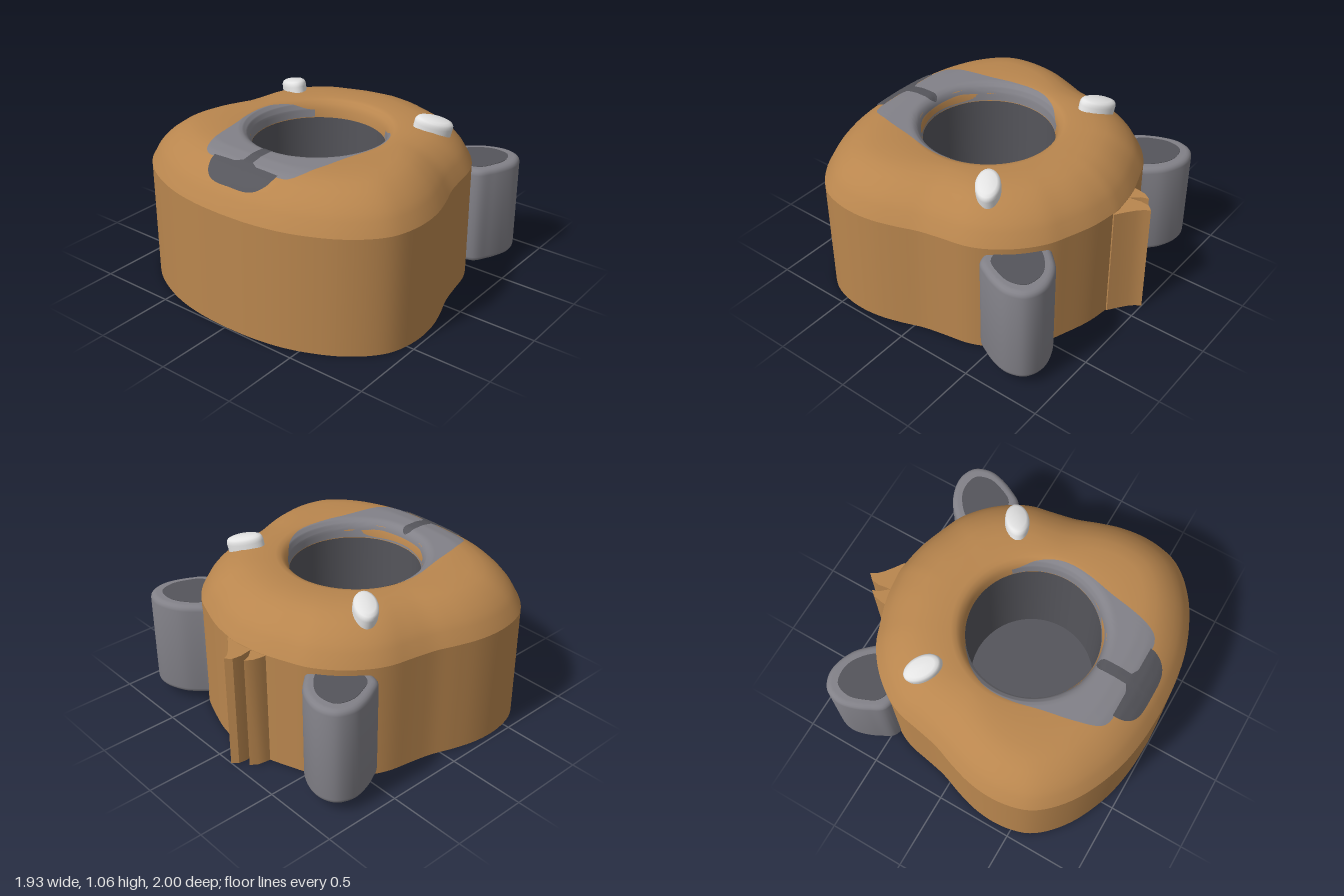
import * as THREE from 'three';
import { toCreasedNormals } from 'three/addons/utils/BufferGeometryUtils.js';

const HOLE_Z = 0.11, HOLE_R = 0.41, FLOOR_Y = 0.08;

const mat = (name, color, side = THREE.FrontSide) => {
  const m = new THREE.MeshStandardMaterial({ color, side });
  m.name = name;
  return m;
};

// Radius around the hole centre as a function of angle (0 = front), from half an outline
function radial(points) {
  const curve = new THREE.CatmullRomCurve3(points.map(([x, z]) => new THREE.Vector3(x, 0, z - HOLE_Z)), false, 'centripetal');
  const table = curve.getPoints(240).map(p => [Math.atan2(p.x, p.z), Math.hypot(p.x, p.z)]);
  return phi => {
    const a = Math.abs(phi);
    let i = 1;
    while (i < table.length - 1 && table[i][0] < a) i++;
    const [a0, r0] = table[i - 1], [a1, r1] = table[i];
    const t = a1 > a0 ? THREE.MathUtils.clamp((a - a0) / (a1 - a0), 0, 1) : 0;
    return r0 + (r1 - r0) * t;
  };
}

const headRadius = radial([
  [0, 0.995], [0.2, 0.985], [0.4, 0.95], [0.57, 0.89], [0.72, 0.81], [0.85, 0.7], [0.92, 0.6],
  [0.955, 0.48], [0.965, 0.36], [0.95, 0.22], [0.91, 0.08], [0.86, -0.06], [0.83, -0.2], [0.8, -0.35],
  [0.75, -0.46], [0.64, -0.6], [0.5, -0.71], [0.38, -0.76], [0.2, -0.82], [0, -0.85]]);

const muzzleRadius = radial([
  [0, 0.775], [0.15, 0.775], [0.27, 0.775], [0.32, 0.75], [0.35, 0.7], [0.385, 0.58], [0.42, 0.4],
  [0.455, 0.25], [0.468, 0.13], [0.455, 0.03], [0.4, -0.08], [0.28, -0.2]]);

// Shoulder profile [inset from outline, height] and hole lip [distance from hole, height]
const SHOULDER = [[0, 0.75], [0.045, 0.83], [0.075, 0.867], [0.115, 0.905], [0.175, 0.947], [0.24, 0.975], [0.32, 0.99]];
const LIP = [[0.08, 0.992], [0.05, 0.985], [0.025, 0.965], [0.008, 0.93], [0, 0.88]];

function lookup(profile, d) {
  for (let i = 1; i < profile.length; i++) {
    const [d0, y0] = profile[i - 1], [d1, y1] = profile[i];
    if (d <= d1) return y0 + (y1 - y0) * (d - d0) / (d1 - d0);
  }
  return profile[profile.length - 1][1];
}

const LIP_UP = [...LIP].reverse();
function topHeight(x, z) {
  const r = Math.hypot(x, z - HOLE_Z), phi = Math.atan2(x, z - HOLE_Z);
  return Math.min(lookup(SHOULDER, headRadius(phi) - r), lookup(LIP_UP, Math.max(0, r - HOLE_R)));
}

// Surface grid: point(u, v) with u to the right and v upwards
function grid(nu, nv, point) {
  const pos = [], index = [];
  for (let j = 0; j <= nv; j++)
    for (let i = 0; i <= nu; i++) pos.push(...point(i / nu, j / nv, j));
  for (let j = 0; j < nv; j++)
    for (let i = 0; i < nu; i++) {
      const a = j * (nu + 1) + i, d = a + nu + 1;
      index.push(a, a + 1, d + 1, a, d + 1, d);
    }
  const g = new THREE.BufferGeometry();
  g.setAttribute('position', new THREE.Float32BufferAttribute(pos, 3));
  g.setIndex(index);
  g.computeVertexNormals();
  return g;
}

const polar = (phi, r, y) => [r * Math.sin(phi), y, HOLE_Z + r * Math.cos(phi)];
const painted = (x, z, lift) => [x, topHeight(x, z) + lift, z];

// Upright prism from a plan outline of [x, z] points
function prism(points, y0, y1, bevel, smooth = true) {
  const v = points.map(([x, z]) => new THREE.Vector2(x, -z));
  const outline = smooth ? new THREE.SplineCurve([...v, v[0]]).getPoints(64).slice(0, -1) : v;
  const g = new THREE.ExtrudeGeometry(new THREE.Shape(outline), {
    depth: y1 - y0 - 2 * bevel, bevelEnabled: bevel > 0, bevelThickness: bevel,
    bevelSize: bevel, bevelOffset: -bevel, bevelSegments: 4 });
  g.rotateX(-Math.PI / 2).translate(0, y0 + bevel, 0);
  return toCreasedNormals(g, 0.6);
}

export function createModel() {
  const group = new THREE.Group();
  const brown = mat('brown fur', 0xb9864e);
  const grey = mat('grey', 0x828188, THREE.DoubleSide);
  const dark = mat('dark grey', 0x55555b, THREE.DoubleSide);
  const white = mat('white', 0xe4e4e4);
  const add = (name, geometry, material) => {
    const m = new THREE.Mesh(geometry, material);
    m.name = name;
    group.add(m);
    return m;
  };

  // Head: wall, rounded shoulder and lip rolling into the hole
  const rings = [
    () => [0, 0],
    ...SHOULDER.map(([d, y]) => R => [R - Math.min(d, R - HOLE_R - 0.09), y]),
  ].map(f => phi => f(headRadius(phi)));
  rings.shift();
  rings.unshift(phi => [headRadius(phi), 0]);
  LIP.forEach(([d, y]) => rings.push(() => [HOLE_R + d, y]));
  const head = grid(160, rings.length - 1, (u, v, j) => {
    const phi = (u * 2 - 1) * Math.PI;
    return polar(phi, ...rings[j](phi));
  });
  add('head', toCreasedNormals(head, 0.45), brown);

  // Underside and hole lining
  add('underside', grid(160, 1, (u, v) => {
    const phi = (u * 2 - 1) * Math.PI;
    return polar(phi, v * headRadius(phi), 0);
  }), dark);
  add('holeWall', new THREE.CylinderGeometry(HOLE_R, HOLE_R, 0.88 - FLOOR_Y, 96, 1, true)
    .translate(0, (0.88 + FLOOR_Y) / 2, HOLE_Z), dark);
  add('holeFloor', new THREE.CircleGeometry(HOLE_R, 96).rotateX(-Math.PI / 2).translate(0, FLOOR_Y, HOLE_Z), dark);

  // Painted muzzle, nose and the line above the nose
  const muzzleEnd = Math.atan2(0.28, -0.31);
  add('muzzle', grid(120, 20, (u, v) => {
    const phi = (u * 2 - 1) * muzzleEnd;
    const r = THREE.MathUtils.lerp(Math.max(muzzleRadius(phi), HOLE_R), HOLE_R, v);
    const [x, , z] = polar(phi, r, 0);
    return painted(x, z, 0.004);
  }), grey);
  add('nose', grid(60, 10, (u, v) => {
    const s = Math.sin((u - 0.5) * Math.PI), x = 0.237 * s;
    const front = 0.77 + 0.14 * Math.sqrt(Math.max(0, 1 - s ** 4));
    const back = 0.77 - 0.04 * Math.max(0, 1 - Math.abs(x) / 0.08);
    return painted(x, THREE.MathUtils.lerp(front, back, v), 0.008);
  }), dark);
  add('noseLine', grid(12, 14, (u, v) => {
    const s = Math.sin((u - 0.5) * Math.PI);
    return painted(0.035 * s, THREE.MathUtils.lerp(0.78, 0.575 - 0.035 * Math.sqrt(1 - s * s), v), 0.008);
  }), dark);

  // Ears and eyes, mirrored
  const earOutline = [[0.48, -0.72], [0.58, -0.82], [0.7, -0.873], [0.8, -0.875], [0.88, -0.83], [0.915, -0.74],
    [0.905, -0.65], [0.86, -0.54], [0.79, -0.45], [0.62, -0.45], [0.5, -0.58]];
  const earInner = [[0.53, -0.68], [0.58, -0.74], [0.66, -0.795], [0.74, -0.81], [0.82, -0.785], [0.85, -0.7],
    [0.83, -0.61], [0.77, -0.51], [0.65, -0.5], [0.56, -0.58]];
  const eyeProfile = [[0.001, -0.09], [0.118, -0.09], [0.12, 0], [0.118, 0.018], [0.108, 0.032], [0.085, 0.04], [0.001, 0.044]]
    .map(([x, y]) => new THREE.Vector2(x, y));
  for (const [side, s] of [['left', 1], ['right', -1]]) {
    const flip = pts => pts.map(([x, z]) => [x * s, z]);
    add(side + 'Ear', prism(flip(earOutline), 0.065, 0.71, 0.035), grey);
    add(side + 'InnerEar', prism(flip(earInner), 0.062, 0.713, 0), dark);
    const eye = toCreasedNormals(new THREE.LatheGeometry(eyeProfile, 40), 0.7);
    eye.scale(1, 1, 0.62).rotateY(s * 0.62).rotateZ(-s * 0.22).rotateX(-0.08).translate(s * 0.55, 1.0, -0.32);
    add(side + 'Eye', eye, white);
  }

  // Tuft of hair at the back
  add('smallTuft', prism([[-0.25, -0.76], [-0.245, -0.83], [-0.235, -0.885], [-0.205, -0.93], [-0.19, -0.885],
    [-0.15, -0.84], [-0.15, -0.76]], 0, 0.748, 0, false), brown);
  add('largeTuft', prism([[-0.15, -0.78], [-0.145, -0.85], [-0.155, -0.91], [-0.148, -0.965], [-0.115, -1],
    [-0.095, -0.965], [-0.06, -0.93], [0, -0.885], [0.05, -0.852], [0.04, -0.78]], 0, 0.748, 0, false), brown);
  return group;
}
